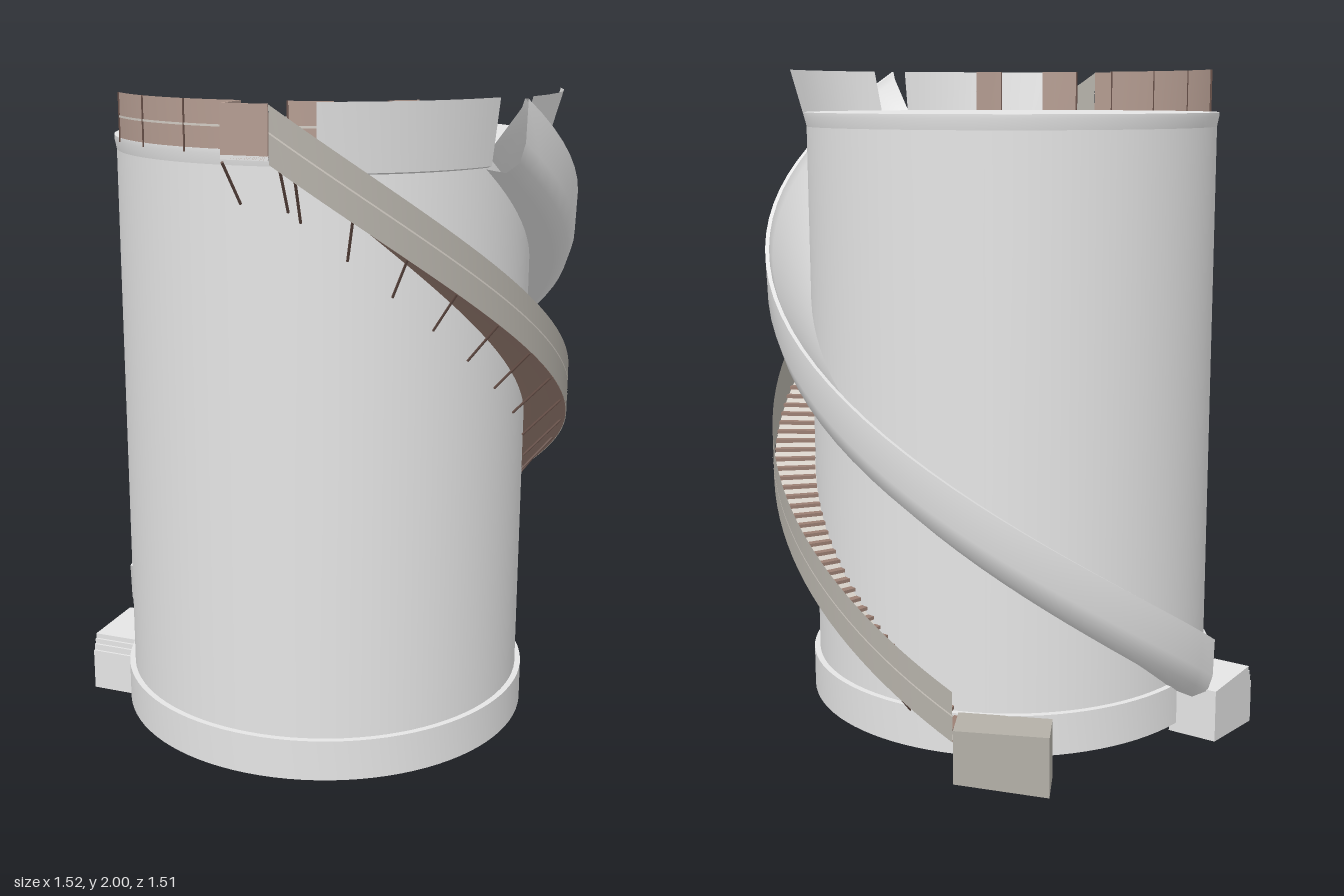
import * as THREE from 'three';
import { toCreasedNormals } from 'three/addons/utils/BufferGeometryUtils.js';

const mat = (name, color) => {
  const m = new THREE.MeshStandardMaterial({ color, side: THREE.DoubleSide });
  m.name = name;
  return m;
};
const rad = THREE.MathUtils.degToRad;
// angle 0 is the front, growing towards +x
const polar = (deg, r, y) => new THREE.Vector3(r * Math.sin(rad(deg)), y, r * Math.cos(rad(deg)));

// Sweep a profile of [radius, height] points around the tank, with the base height given by rise(deg)
function sweep(profile, from, to, steps, rise) {
  const pos = [], idx = [], n = profile.length;
  for (let i = 0; i <= steps; i++) {
    const a = from + (to - from) * i / steps;
    for (const [r, h] of profile) pos.push(...polar(a, r, Math.min(2, rise(a) + h)).toArray());
  }
  for (let i = 0; i < steps; i++) for (let j = 0; j < n - 1; j++) {
    const a = i * n + j, b = a + n;
    idx.push(a, b, a + 1, b, b + 1, a + 1);
  }
  const g = new THREE.BufferGeometry();
  g.setAttribute('position', new THREE.Float32BufferAttribute(pos, 3));
  g.setIndex(idx);
  return toCreasedNormals(g, 0.8);
}

// Block from a side outline of [z, y] points, its width running towards -x
function block(width, outline) {
  const s = new THREE.Shape(outline.map((p) => new THREE.Vector2(...p)));
  return new THREE.ExtrudeGeometry(s, { depth: width, bevelEnabled: false }).rotateY(-Math.PI / 2);
}

export function createModel() {
  const group = new THREE.Group();
  const grey = mat('concrete grey', 0xe5e5e5);
  const brown = mat('rail brown', 0xb49c91);
  const rust = mat('tread brown', 0x9c8074);
  const beige = mat('panel beige', 0xb4b0a8);
  const dark = mat('brace brown', 0x6a524a);
  const pale = mat('pale trim', 0xd2ccc4);

  const add = (name, geo, m, parent = group) => {
    const mesh = new THREE.Mesh(geo, m);
    mesh.name = name;
    parent.add(mesh);
    return mesh;
  };
  const box = (name, w, h, d, x, y, z, m, parent) => {
    const b = add(name, new THREE.BoxGeometry(w, h, d), m, parent);
    b.position.set(x, y, z);
    return b;
  };
  const level = (y) => () => y;

  // Hollow tank, open below, with roof, base band and top rim
  add('tankWall', new THREE.CylinderGeometry(0.622, 0.622, 1.8, 96, 1, true), grey).position.y = 0.963;
  const roof = add('roof', new THREE.CircleGeometry(0.628, 96).rotateX(-Math.PI / 2), grey);
  roof.position.y = 1.872;
  add('topRim', sweep([[0.622, -0.03], [0.628, 0], [0.628, 0.012]], 0, 360, 96, level(1.86)), grey);
  add('baseBand', sweep([[0.622, 0], [0.64, 0], [0.64, 0.125], [0.622, 0.125]], 0, 360, 96, level(0.06)), grey);

  // Spiral staircase
  const stairs = new THREE.Group();
  stairs.name = 'staircase';
  group.add(stairs);
  const s0 = 10, s1 = 200;
  const stairY = (a) => 1.86 - (a - s0) * 0.00895;
  add('stairUnderside', sweep([[0.622, -0.012], [0.75, -0.012]], s0, s1, 76, stairY), rust, stairs);
  add('stairRisers', sweep([[0.622, -0.006], [0.75, -0.006]], s0, s1, 76, stairY), pale, stairs);
  const treads = 76, step = (s1 - s0) / treads;
  for (let i = 0; i < treads; i++) {
    const a = s0 + (i + 0.5) * step;
    const t = box('tread', 0.023, 0.01, 0.125, 0, 0, 0, rust, stairs);
    t.position.copy(polar(a, 0.686, stairY(a) + 0.003));
    t.rotation.y = rad(a);
  }
  add('stairRail', sweep([[0.752, -0.012], [0.752, 0.138]], s0, s1, 60, stairY), beige, stairs);
  add('railLine', sweep([[0.7545, 0.066], [0.7545, 0.071]], s0, s1, 60, stairY), pale, stairs);

  // Diagonal braces from the stair edge down to the wall
  const braceAngles = [0, 12];
  for (let a = 15; a < 196; a += 11.35) braceAngles.push(a);
  for (const a of braceAngles) {
    const y = Math.min(1.86, stairY(a));
    const top = polar(a, 0.74, y - 0.01), end = polar(a, 0.627, y - 0.13);
    const dir = top.clone().sub(end);
    const b = add('brace', new THREE.CylinderGeometry(0.004, 0.004, dir.length(), 6), dark, stairs);
    b.position.copy(top).add(end).multiplyScalar(0.5);
    b.quaternion.setFromUnitVectors(new THREE.Vector3(0, 1, 0), dir.normalize());
  }

  // Upper landing
  box('landingFloor', 0.132, 0.012, 0.13, 0.066, 1.864, 0.685, grey);
  box('landingFrontRail', 0.132, 0.14, 0.006, 0.066, 1.93, 0.747, brown);
  box('landingSideRail', 0.006, 0.14, 0.12, 0.003, 1.93, 0.687, brown);

  // Railing panels along the roof edge
  for (const [from, to] of [[-48, 0], [12, 23], [36, 44]]) {
    const n = Math.ceil((to - from) / 4);
    add('roofRail', sweep([[0.627, 0], [0.627, 0.14]], from, to, n, level(1.86)), brown);
    add('roofRailLine', sweep([[0.63, 0.07], [0.63, 0.076]], from, to, n, level(1.86)), pale);
    for (let a = from; a <= to; a += 16) {
      const p = box('roofPost', 0.004, 0.14, 0.005, 0, 0, 0, dark);
      p.position.copy(polar(a, 0.628, 1.93));
      p.rotation.y = rad(a);
    }
  }

  // Flared guards leading to the slide
  add('entryGuard', sweep([[0.626, 0], [0.64, 0.005], [0.665, 0.19]], 19, 66, 12, level(1.81)), grey);
  add('slideGuard', sweep([[0.626, 0], [0.652, 0.005], [0.705, 0.19]], 74, 112, 5, level(1.81)), grey);

  // Spiral slide with a rounded outside and a banked inner face
  const slideY = (a) => 1.8 - (a - 66) * 0.0083;
  const section = [[0.622, 0.005], [0.69, 0], [0.735, 0.03], [0.753, 0.085], [0.757, 0.2],
    [0.745, 0.2], [0.735, 0.175], [0.622, 0.045]];
  add('slide', sweep(section, 66, 265, 40, slideY), grey);

  // Slide exit with a stepped front edge
  const exit = add('slideExit', block(0.152, [[0, 0.03], [0.26, 0], [0.26, 0.135], [0.253, 0.135],
    [0.253, 0.155], [0.246, 0.155], [0.246, 0.172], [0.239, 0.172], [0.239, 0.188], [0, 0.188]]), grey);
  exit.position.set(-0.612, 0, -0.07);

  // Foot of the staircase
  const foot = add('stairFoot', block(0.128, [[0, 0.03], [0.27, 0], [0.27, 0.18], [0, 0.19]]), beige);
  foot.position.copy(polar(199, 0.642, 0));
  foot.rotation.y = Math.atan2(-0.24, 0.125);
  return group;
}
